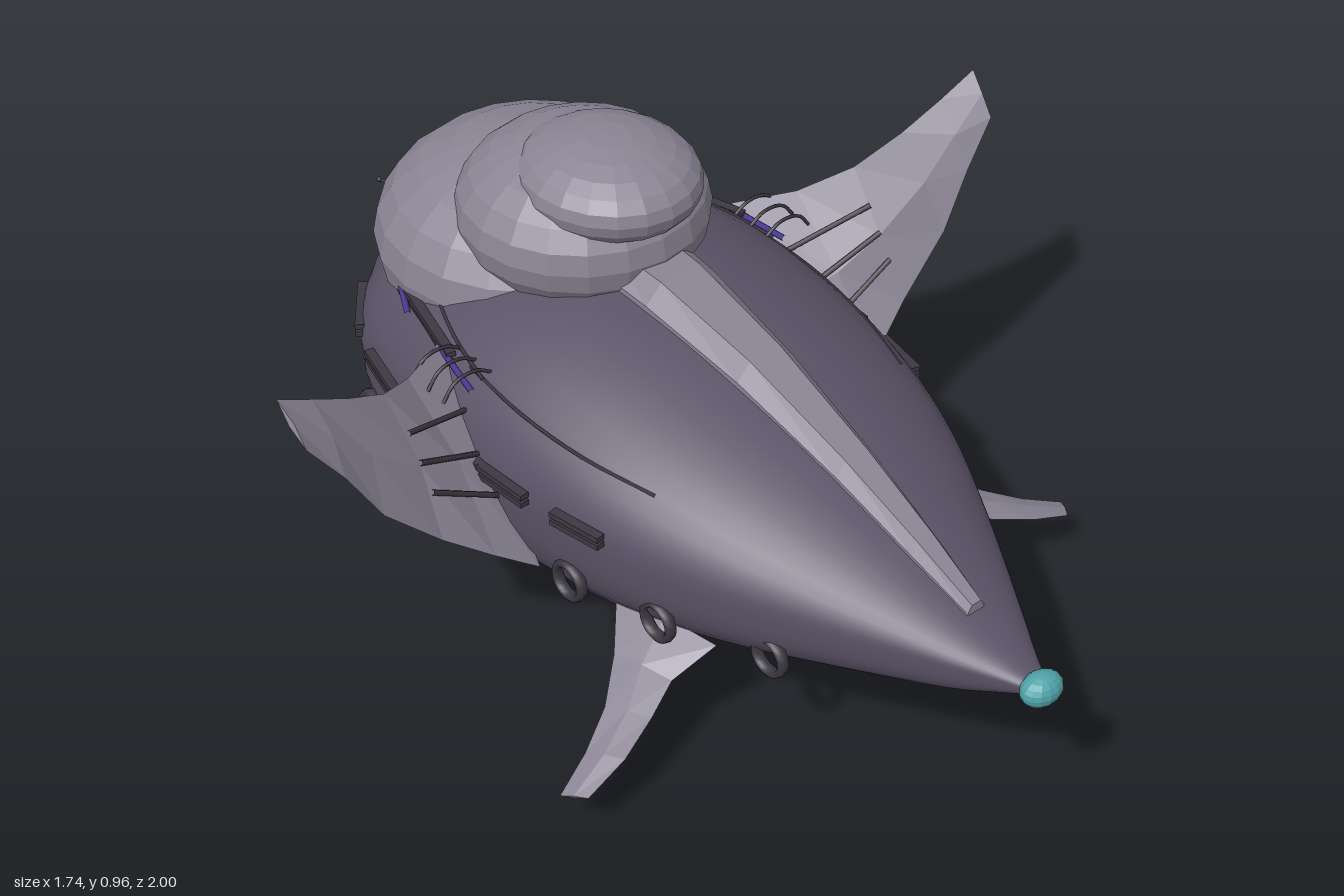
import * as THREE from 'three';

const mat = (color, extra = {}) => new THREE.MeshStandardMaterial({ color, ...extra });
const hullMat = mat(0x5a5266);
const shellMat = mat(0x8a8494, { flatShading: true });
const wingMat = mat(0x8a8494, { flatShading: true, side: THREE.DoubleSide });
const darkMat = mat(0x3c3842);
const purpleMat = mat(0x4a3a94);
const tealMat = mat(0x4fa3a8, { flatShading: true });

const V = (x, y, z) => new THREE.Vector3(x, y, z);

function add(parent, name, geometry, material, x = 0, y = 0, z = 0) {
  const mesh = new THREE.Mesh(geometry, material);
  mesh.name = name;
  mesh.position.set(x, y, z);
  parent.add(mesh);
  return mesh;
}

// Skin a list of equal-length closed rings and cap both ends
function loft(rings) {
  const n = rings[0].length, last = (rings.length - 1) * n;
  const index = [];
  for (let i = 0; i < rings.length - 1; i++) {
    for (let j = 0; j < n; j++) {
      const a = i * n + j, b = i * n + (j + 1) % n;
      index.push(a, b, b + n, a, b + n, a + n);
    }
  }
  for (let j = 1; j < n - 1; j++) {
    index.push(0, j + 1, j, last, last + j, last + j + 1);
  }
  const geometry = new THREE.BufferGeometry().setFromPoints(rings.flat());
  geometry.setIndex(index);
  geometry.computeVertexNormals();
  return geometry;
}

// Hull stations: z, half width, height of widest line, top, bottom
const stations = [
  [-1, 0.012, 0.365, 0.395, 0.33], [-0.95, 0.06, 0.37, 0.45, 0.275],
  [-0.88, 0.145, 0.385, 0.52, 0.215], [-0.8, 0.235, 0.40, 0.57, 0.165],
  [-0.7, 0.325, 0.415, 0.625, 0.125], [-0.6, 0.38, 0.425, 0.66, 0.105],
  [-0.4, 0.43, 0.43, 0.705, 0.09], [-0.2, 0.442, 0.43, 0.72, 0.098],
  [0, 0.432, 0.43, 0.70, 0.113], [0.2, 0.398, 0.425, 0.657, 0.147],
  [0.4, 0.33, 0.415, 0.60, 0.195], [0.6, 0.228, 0.405, 0.527, 0.245],
  [0.8, 0.112, 0.395, 0.448, 0.297], [0.9, 0.052, 0.388, 0.412, 0.34],
  [0.96, 0.02, 0.385, 0.395, 0.37],
];

function station(z) {
  let i = 0;
  while (i < stations.length - 2 && stations[i + 1][0] < z) i++;
  const a = stations[i], b = stations[i + 1], t = (z - a[0]) / (b[0] - a[0]);
  return a.map((v, k) => v + (b[k] - v) * t);
}

// Half width of the hull at a given height
function hullX(z, y) {
  const [, w, mid, top, bottom] = station(z);
  const up = y > mid, n = up ? 2 : 2.5;
  const f = Math.min(1, Math.abs(y - mid) / (up ? top - mid : mid - bottom));
  return w * Math.pow(1 - Math.pow(f, n), 1 / n);
}

function hullRing([z, w, mid, top, bottom]) {
  const ring = [];
  for (let j = 0; j < 40; j++) {
    const a = j / 40 * Math.PI * 2, c = Math.cos(a), s = Math.sin(a);
    const e = s >= 0 ? 1 : 0.8;
    const x = Math.sign(c) * Math.pow(Math.abs(c), e) * w;
    const y = mid + (s >= 0 ? s * (top - mid) : -Math.pow(-s, e) * (mid - bottom));
    ring.push(V(x, y, z));
  }
  return ring;
}

// Thin blade from rows of [rear point, front point, half thickness]
function blade(rows, side) {
  const span = V(...rows[rows.length - 1][0]).sub(V(...rows[0][0]));
  return loft(rows.map(([r, f, t]) => {
    const rear = V(...r), front = V(...f);
    const normal = front.clone().sub(rear).cross(span).normalize().multiplyScalar(t);
    const mid = rear.clone().lerp(front, 0.5);
    const ring = [mid.clone().add(normal), front, mid.clone().sub(normal), rear];
    ring.forEach(p => { p.x *= side; });
    return side > 0 ? ring : ring.reverse();
  }));
}

function tube(points, radius) {
  return new THREE.TubeGeometry(new THREE.CatmullRomCurve3(points), 12, radius, 5);
}

const upperWing = [
  [[0.38, 0.60, -0.34], [0.41, 0.27, 0.01], 0.022],
  [[0.50, 0.615, -0.27], [0.50, 0.335, -0.01], 0.02],
  [[0.60, 0.665, -0.205], [0.60, 0.41, -0.04], 0.017],
  [[0.70, 0.725, -0.17], [0.72, 0.53, -0.05], 0.013],
  [[0.79, 0.78, -0.15], [0.79, 0.65, -0.06], 0.01],
  [[0.87, 0.825, -0.14], [0.86, 0.745, -0.07], 0.006],
];
const lowerFin = [
  [[0.34, 0.265, 0.16], [0.29, 0.265, 0.40], 0.012],
  [[0.42, 0.215, 0.25], [0.38, 0.21, 0.375], 0.011],
  [[0.50, 0.175, 0.32], [0.45, 0.175, 0.40], 0.01],
  [[0.58, 0.135, 0.36], [0.54, 0.145, 0.43], 0.008],
  [[0.665, 0.10, 0.39], [0.635, 0.11, 0.438], 0.004],
];

function buildSide(s) {
  const g = new THREE.Group();
  g.name = s > 0 ? 'leftSide' : 'rightSide';
  add(g, 'upperWing', blade(upperWing, s), wingMat);
  add(g, 'lowerFin', blade(lowerFin, s), wingMat);

  // Ring windows
  for (const z of [0.51, 0.3, 0.1, -0.125, -0.355, -0.58]) {
    const x = hullX(z, 0.295) + 0.015;
    const ring = add(g, 'porthole', new THREE.TorusGeometry(0.038, 0.009, 8, 20), darkMat, s * x, 0.295, z);
    ring.rotation.y = Math.PI / 2;
    ring.scale.z = 1.5;
  }

  // Double rails following the flank: z start, z end, height
  const rails = [[0.2, 0.08, 0.455], [0.01, -0.12, 0.455], [-0.12, -0.42, 0.455],
    [-0.42, -0.56, 0.455], [-0.64, -0.76, 0.455], [-0.3, -0.57, 0.585], [-0.55, -0.73, 0.585]];
  for (const [z0, z1, y] of rails) {
    const x0 = hullX(z0, y) + 0.012, x1 = hullX(z1, y) + 0.012;
    for (const dy of [-0.009, 0.009]) {
      const box = new THREE.BoxGeometry(0.02, 0.012, Math.hypot(z0 - z1, x0 - x1));
      const rail = add(g, 'rail', box, darkMat, s * (x0 + x1) / 2, y + dy, (z0 + z1) / 2);
      rail.rotation.y = s * Math.atan2(x0 - x1, z0 - z1);
    }
  }

  // Fine seam cables and purple conduits hugging the hull
  const hug = (from, to, lift) => [0, 0.33, 0.67, 1].map(t => {
    const z = from[0] + (to[0] - from[0]) * t, y = from[1] + (to[1] - from[1]) * t;
    return V(s * (hullX(z, y) + lift), y, z);
  });
  add(g, 'seamCable', tube(hug([0.25, 0.55], [-0.25, 0.59], 0.003), 0.004), darkMat);
  add(g, 'seamCable', tube(hug([-0.2, 0.59], [-0.6, 0.635], 0.006), 0.004), darkMat);
  add(g, 'conduit', tube(hug([-0.48, 0.58], [-0.62, 0.595], 0.02), 0.007), purpleMat);
  add(g, 'conduit', tube(hug([-0.2, 0.575], [-0.34, 0.59], 0.02), 0.007), purpleMat);

  // Looped cables and ribs at the wing root
  for (let i = 0; i < 3; i++) {
    const z = -0.2 - i * 0.05;
    add(g, 'rootCable', tube([V(s * 0.34, 0.59, z), V(s * 0.39, 0.62, z),
      V(s * 0.44, 0.615, z), V(s * 0.47, 0.58, z)], 0.004), darkMat);
    const t = 0.3 + i * 0.2;
    const inner = V(...upperWing[0][0]).lerp(V(...upperWing[0][1]), t);
    const outer = V(...upperWing[2][0]).lerp(V(...upperWing[2][1]), t);
    for (const p of [inner, outer]) p.add(V(-0.008, 0.014, 0.012)).setX(p.x * s);
    add(g, 'wingRib', tube([inner, outer], 0.006), darkMat);
  }
  return g;
}

export function createModel() {
  const model = new THREE.Group();
  model.name = 'airship';

  // Hull, resampled finely for a smooth skin
  const curve = k => new THREE.SplineCurve(stations.map(r => new THREE.Vector2(r[0], r[k])));
  const curves = [1, 2, 3, 4].map(curve);
  const rings = [];
  for (let i = 0; i <= 56; i++) {
    const p = curves.map(c => c.getPoint(i / 56));
    rings.push(hullRing([p[0].x, ...p.map(q => q.y)]));
  }
  add(model, 'hull', loft(rings), hullMat);

  // Raised spine from the domes to the nose: z, half width, height
  const spine = [[-0.2, 0.095, 0.04], [-0.05, 0.088, 0.047], [0.2, 0.07, 0.044],
    [0.46, 0.05, 0.036], [0.65, 0.035, 0.029], [0.79, 0.021, 0.02]];
  add(model, 'spine', loft(spine.map(([z, w, h]) => {
    const y = station(z)[3];
    return [V(w, y - 0.03, z), V(w, y + h * 0.2, z), V(w * 0.55, y + h, z),
      V(-w * 0.55, y + h, z), V(-w, y + h * 0.2, z), V(-w, y - 0.03, z)];
  })), shellMat);

  // Stacked domes and belly pod
  const pod = (name, y, z, rx, ry, rz) =>
    add(model, name, new THREE.SphereGeometry(1, 20, 12), shellMat, 0, y, z).scale.set(rx, ry, rz);
  pod('lowerDome', 0.62, -0.52, 0.33, 0.22, 0.33);
  pod('middleDome', 0.76, -0.355, 0.26, 0.17, 0.26);
  pod('upperDome', 0.87, -0.27, 0.18, 0.095, 0.2);
  pod('bellyPod', 0.075, -0.09, 0.163, 0.062, 0.185);
  add(model, 'bellyHatch', new THREE.CylinderGeometry(0.085, 0.075, 0.025, 20), darkMat, 0, 0.0125, -0.09);

  // Nose light
  add(model, 'noseLight', new THREE.SphereGeometry(1, 14, 10), tealMat, 0, 0.385, 0.965)
    .scale.set(0.046, 0.033, 0.035);

  // Whisker antennas at the tail
  for (let i = -2; i <= 2; i++) {
    const tip = V(i * 0.036, 0.455 + Math.abs(i) * 0.037, -0.985 + Math.abs(i) * 0.004);
    add(model, 'tailAntenna', tube([V(i * 0.016, 0.51, -0.84),
      V(i * 0.022, 0.53, -0.9), tip], 0.003), darkMat);
    add(model, 'antennaTip', new THREE.SphereGeometry(0.006, 8, 6), darkMat, tip.x, tip.y, tip.z);
  }

  model.add(buildSide(1), buildSide(-1));
  return model;
}
